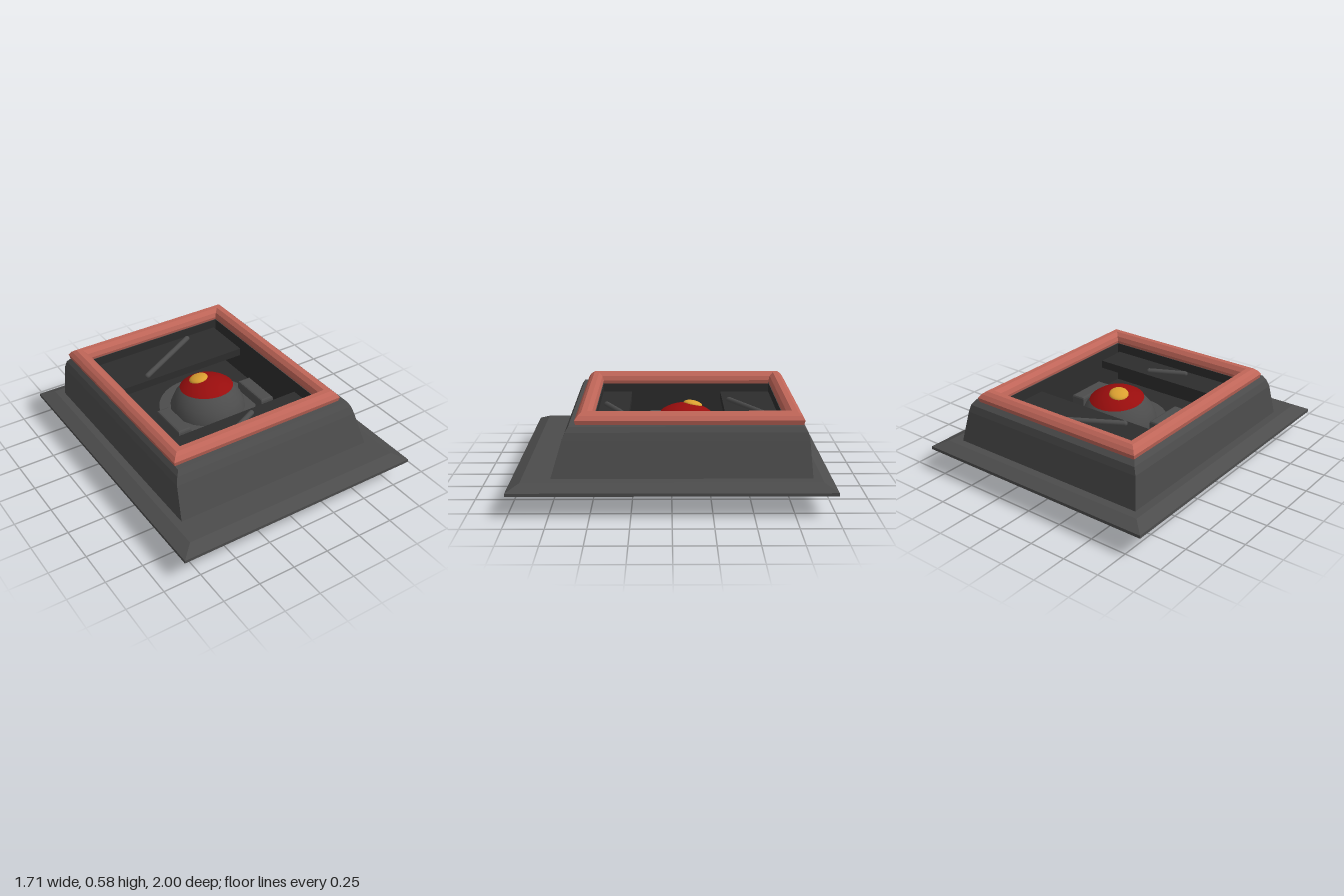
import * as THREE from 'three';

const mat = (name, color, side = THREE.FrontSide) => {
  const m = new THREE.MeshStandardMaterial({ color, side });
  m.name = name;
  return m;
};

// Skin rectangular sections [x0, x1, z0, z1, y] one after the other, flat faced
function loft(sections) {
  const pos = [];
  const rings = sections.map(([x0, x1, z0, z1, y]) =>
    [[x0, y, z1], [x1, y, z1], [x1, y, z0], [x0, y, z0]]);
  for (let r = 0; r < rings.length - 1; r++) {
    for (let i = 0; i < 4; i++) {
      const j = (i + 1) % 4;
      const [a, b, c, d] = [rings[r][i], rings[r][j], rings[r + 1][j], rings[r + 1][i]];
      pos.push(...a, ...b, ...c, ...a, ...c, ...d);
    }
  }
  const g = new THREE.BufferGeometry();
  g.setAttribute('position', new THREE.Float32BufferAttribute(pos, 3));
  g.computeVertexNormals();
  return g;
}

export function createModel() {
  const root = new THREE.Group();
  root.name = 'framedEye';
  const grey = mat('grey', 0x4c4c4c);
  const dark = mat('charcoal', 0x2d2d2d);
  const rimRed = mat('dustyRed', 0xbf6558);
  const irisRed = mat('deepRed', 0x980d0d);
  const amber = mat('amber', 0xdba030);

  const add = (name, geometry, material, x = 0, y = 0, z = 0) => {
    const m = new THREE.Mesh(geometry, material);
    m.name = name;
    m.position.set(x, y, z);
    root.add(m);
    return m;
  };

  // Base plate with bevelled top, dark underside
  add('basePlate', loft([
    [-0.855, 0.855, -1, 1, 0.15], [-0.855, 0.855, -1, 1, 0.17],
    [-0.77, 0.77, -0.92, 0.92, 0.208], [0, 0, 0, 0, 0.21],
  ]), grey);
  add('baseUnderside', loft([[0, 0, 0, 0, 0.15], [-0.855, 0.855, -1, 1, 0.15]]), dark);

  // Sloping housing and its dark interior
  add('housing', loft([
    [-0.72, 0.70, -0.865, 0.745, 0.2], [-0.705, 0.64, -0.845, 0.675, 0.43],
    [-0.69, 0.625, -0.835, 0.655, 0.48], [-0.67, 0.605, -0.805, 0.635, 0.512],
    [-0.57, 0.46, -0.71, 0.49, 0.512],
  ]), grey);
  add('interior', loft([
    [-0.57, 0.46, -0.71, 0.49, 0.512], [-0.58, 0.47, -0.72, 0.5, 0.22],
    [0, 0, -0.1, -0.1, 0.22],
  ]), dark);

  // Rounded rim: a faceted section carried round the opening
  const rimSection = [[0, 0.512], [-0.006, 0.54], [0.012, 0.565], [0.035, 0.583],
    [0.07, 0.583], [0.095, 0.56], [0.105, 0.53], [0.1, 0.505], [0, 0.512]];
  add('rim', loft(rimSection.map(([d, y]) =>
    [-0.67 + d, 0.565 - d, -0.815 + d, 0.595 - d, y])), rimRed);

  // Inner ledges, each with a slanting rod
  const ledge = (name, z0, z1) => add(name,
    new THREE.BoxGeometry(1.0, 0.055, z1 - z0), dark, -0.055, 0.42, (z0 + z1) / 2);
  ledge('backLedge', -0.71, -0.36);
  ledge('frontLedge', 0.285, 0.495);

  const rod = (name, x0, z0, x1, z1) => {
    const a = new THREE.Vector3(x0, 0.455, z0), b = new THREE.Vector3(x1, 0.455, z1);
    const dir = b.clone().sub(a);
    const m = add(name, new THREE.CapsuleGeometry(0.019, dir.length(), 4, 10), grey);
    m.position.copy(a).lerp(b, 0.5);
    m.quaternion.setFromUnitVectors(new THREE.Vector3(0, 1, 0), dir.normalize());
  };
  rod('backRod', -0.29, -0.405, 0.19, -0.675);
  rod('frontRod', -0.165, 0.445, 0.06, 0.335);

  // Socket collar and side blocks
  add('socket', new THREE.CylinderGeometry(0.33, 0.34, 0.08, 40), grey, 0, 0.25, -0.1);
  const block = new THREE.Shape();
  block.moveTo(-0.035, -0.13);
  block.lineTo(0.035, -0.13);
  block.lineTo(0.035, 0.13);
  block.lineTo(-0.035, 0.13);
  const blockGeo = new THREE.ExtrudeGeometry(block,
    { depth: 0.12, bevelSize: 0.013, bevelThickness: 0.013, bevelSegments: 2 });
  blockGeo.rotateX(-Math.PI / 2);
  for (const [name, x] of [['rightBlock', -0.332], ['leftBlock', 0.322]]) {
    add(name, blockGeo, grey, x, 0.227, 0.01);
  }

  // Eyeball, iris cap and pupil
  const ball = add('eyeball', new THREE.SphereGeometry(0.262, 20, 12), grey, 0, 0.248, -0.095);
  ball.scale.y = 0.94;
  const iris = add('iris', new THREE.SphereGeometry(0.27, 32, 8, 0, Math.PI * 2, 0, 0.74),
    irisRed, 0, 0.25, -0.095);
  iris.scale.y = 0.94;
  iris.rotation.x = -0.09;
  const pupil = add('pupil', new THREE.SphereGeometry(0.065, 20, 12), amber, -0.042, 0.488, -0.145);
  pupil.scale.y = 0.4;
  pupil.rotation.set(-0.2, 0, 0.16);

  return root;
}
